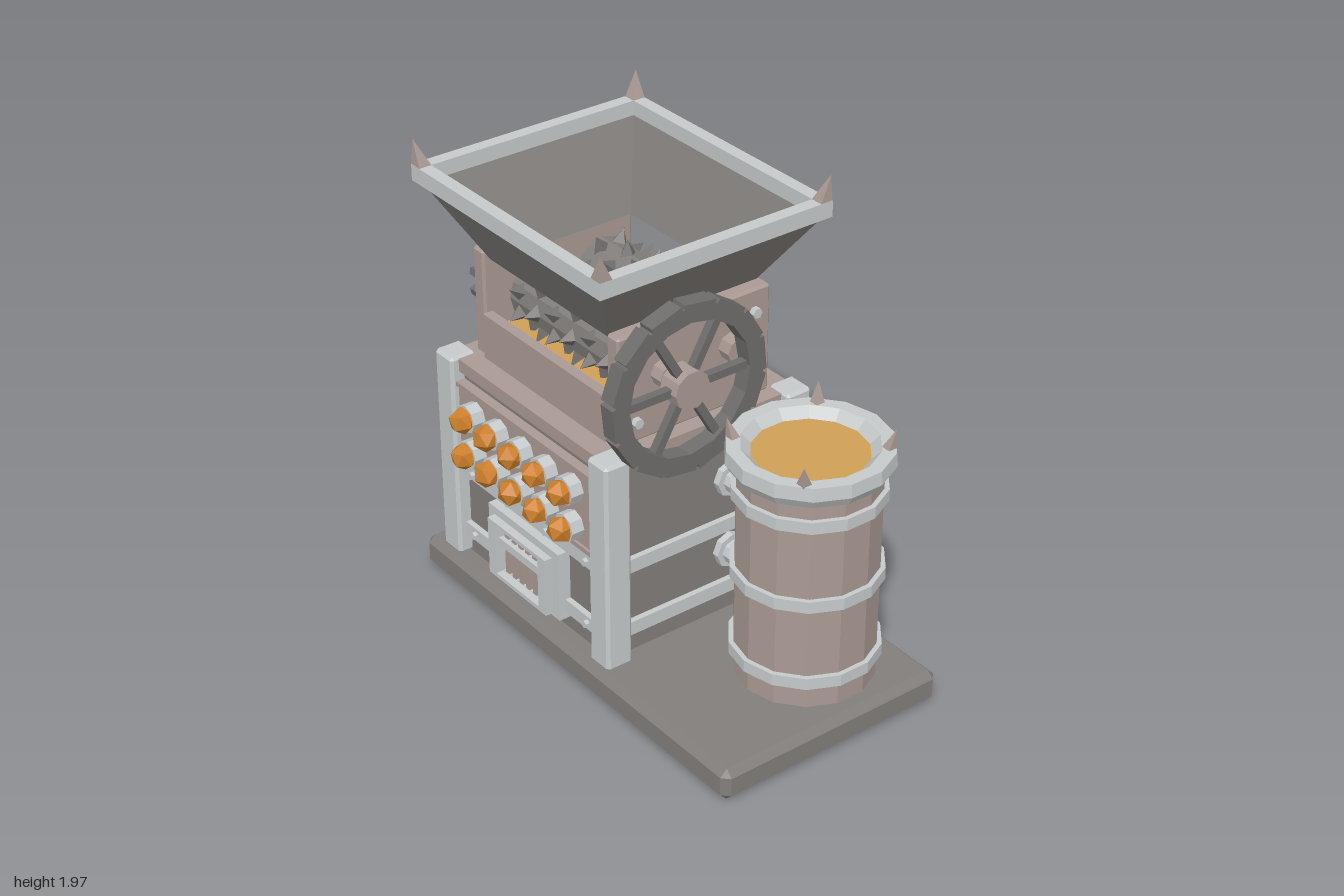
import * as THREE from 'three';
import { ConvexGeometry } from 'three/addons/geometries/ConvexGeometry.js';

const mat = (name, color) => {
  const m = new THREE.MeshStandardMaterial({ color });
  m.name = name;
  return m;
};

export function createModel() {
  const model = new THREE.Group();
  model.name = 'crusherMachine';
  const steel = mat('paleSteel', 0xc6caca);
  const tin = mat('dustyBrown', 0xaa9a94);
  const iron = mat('ironGrey', 0x827e7b);
  const dark = mat('darkIron', 0x6f6d6c);
  const orange = mat('amberOrange', 0xcc7f2a);
  const gold = mat('goldenPulp', 0xcfa057);

  // faceted mesh at a position
  function add(name, geo, material, x = 0, y = 0, z = 0, parent = model) {
    const g = geo.index ? geo.toNonIndexed() : geo;
    g.computeVertexNormals();
    const m = new THREE.Mesh(g, material);
    m.name = name;
    m.position.set(x, y, z);
    parent.add(m);
    return m;
  }

  // box given by its extents, with optional chamfered edges
  function box(name, material, x0, x1, y0, y1, z0, z1, c = 0) {
    const a = (x1 - x0) / 2, b = (y1 - y0) / 2, d = (z1 - z0) / 2;
    let geo;
    if (c) {
      const pts = [];
      for (const i of [-1, 1]) for (const j of [-1, 1]) for (const k of [-1, 1]) {
        pts.push(new THREE.Vector3(i * a, j * (b - c), k * (d - c)),
          new THREE.Vector3(i * (a - c), j * b, k * (d - c)),
          new THREE.Vector3(i * (a - c), j * (b - c), k * d));
      }
      geo = new ConvexGeometry(pts);
    } else geo = new THREE.BoxGeometry(2 * a, 2 * b, 2 * d);
    return add(name, geo, material, (x0 + x1) / 2, (y0 + y1) / 2, (z0 + z1) / 2);
  }

  // cylinder lying along x from x0 to x1
  function rod(name, material, r, x0, x1, y, z, sides = 8) {
    const geo = new THREE.CylinderGeometry(r, r, x1 - x0, sides).rotateZ(Math.PI / 2);
    return add(name, geo, material, (x0 + x1) / 2, y, z);
  }

  // short cylinder lying along z
  function stud(name, material, r, x, y, z, len, sides = 6) {
    add(name, new THREE.CylinderGeometry(r, r, len, sides).rotateX(Math.PI / 2), material, x, y, z);
  }

  // four-sided spike whose tip leans sideways
  function spike(name, material, x, y, z, r, h, lx, lz) {
    const geo = new THREE.ConeGeometry(r, h, 4).rotateY(Math.PI / 4).translate(0, h / 2, 0);
    const p = geo.attributes.position;
    for (let i = 0; i < p.count; i++) {
      const t = p.getY(i) / h;
      p.setX(i, p.getX(i) + lx * t);
      p.setZ(i, p.getZ(i) + lz * t);
    }
    add(name, geo, material, x, y, z);
  }

  // closed ring of rectangular loops [half x, half z, y]
  function rectLoft(loops) {
    const v = [], idx = [], n = loops.length;
    for (const [hx, hz, y] of loops) v.push(hx, y, hz, hx, y, -hz, -hx, y, -hz, -hx, y, hz);
    for (let i = 0; i < n; i++) for (let j = 0; j < 4; j++) {
      const k = (i + 1) % n, l = (j + 1) % 4;
      const a = i * 4 + j, b = i * 4 + l, c = k * 4 + l, d = k * 4 + j;
      idx.push(a, b, c, a, c, d);
    }
    const geo = new THREE.BufferGeometry();
    geo.setAttribute('position', new THREE.Float32BufferAttribute(v, 3));
    geo.setIndex(idx);
    return geo;
  }

  // toothed disc facing x, with an optional round hole
  function gear(ro, ri, n, tooth, root, hole, depth, turn = 0) {
    const pts = [], step = 2 * Math.PI / n;
    for (let i = 0; i < n; i++) {
      for (const [r, f] of [[ri, -root / 2], [ro, -tooth / 2], [ro, tooth / 2], [ri, root / 2]]) {
        const a = turn + (i + f) * step;
        pts.push(new THREE.Vector2(r * Math.cos(a), r * Math.sin(a)));
      }
    }
    const s = new THREE.Shape(pts);
    if (hole) s.holes.push(new THREE.Path().absarc(0, 0, hole, 0, Math.PI * 2, true));
    return new THREE.ExtrudeGeometry(s, { depth, bevelEnabled: false, curveSegments: 8 })
      .translate(0, 0, -depth / 2).rotateY(Math.PI / 2);
  }

  // rectangular frame facing z
  function frame(w, h, iw, ih, depth) {
    const rect = (a, b) => [[-a, -b], [a, -b], [a, b], [-a, b]].map(([x, y]) => new THREE.Vector2(x / 2, y / 2));
    const s = new THREE.Shape(rect(w, h));
    s.holes.push(new THREE.Path(rect(iw, ih).reverse()));
    return new THREE.ExtrudeGeometry(s, { depth, bevelEnabled: false });
  }

  const CX = -0.33, CZ = -0.025;

  // plinth, cabinet and corner posts
  box('basePlinth', iron, -1, 1, 0, 0.14, -0.55, 0.5, 0.03);
  box('cabinet', iron, -0.83, 0.17, 0.14, 1.0, -0.46, 0.41);
  box('topDeck', tin, -0.86, 0.2, 1.0, 1.055, -0.485, 0.435);
  for (const x of [-0.9, 0.12]) for (const z of [-0.52, 0.35]) {
    box('cornerPost', steel, x, x + 0.12, 0.14, 1.065, z, z + 0.12, 0.013);
  }

  // straps and rivets around the cabinet
  for (const y of [0.26, 0.55]) {
    box('frontStrap', steel, -0.78, 0.12, y - 0.03, y + 0.03, 0.41, 0.435);
    box('backStrap', steel, -0.78, 0.12, y - 0.03, y + 0.03, -0.485, -0.46);
    box('rightStrap', steel, -0.855, -0.83, y - 0.03, y + 0.03, -0.4, 0.35);
    box('leftStrap', steel, 0.17, 0.195, y - 0.03, y + 0.03, -0.4, 0.35);
    for (const x of [-0.71, -0.455, -0.2, 0.06]) {
      stud('frontRivet', steel, 0.017, x, y, 0.44, 0.025);
      stud('backRivet', steel, 0.017, x, y, -0.49, 0.025);
    }
  }

  // control panel with two rows of lamps
  box('lampPanel', tin, -0.78, 0.12, 0.615, 0.945, 0.41, 0.44);
  box('panelLip', tin, -0.78, 0.12, 0.6, 0.62, 0.41, 0.452);
  box('panelTopLip', tin, -0.78, 0.12, 0.94, 0.96, 0.41, 0.452);
  for (let i = 0; i < 5; i++) for (const y of [0.695, 0.86]) {
    const x = -0.655 + i * 0.1635;
    stud('lampCollar', steel, 0.06, x, y, 0.465, 0.06, 8);
    const lamp = add('lamp', new THREE.IcosahedronGeometry(0.058, 0), orange, x, y, 0.51);
    lamp.rotation.set(0.3 * i, 0.5 * i, 0.7 * i + y);
  }

  // furnace grate
  add('grateOuterFrame', frame(0.475, 0.31, 0.37, 0.24, 0.055), steel, -0.323, 0.355, 0.41);
  add('grateInnerFrame', frame(0.39, 0.26, 0.29, 0.225, 0.085), steel, -0.323, 0.345, 0.415);
  for (let i = 0; i < 6; i++) {
    const x = -0.44 + i * 0.047;
    box('grateBar', tin, x - 0.013, x + 0.013, 0.23, 0.46, 0.43, 0.465);
  }
  box('grateCrossBar', steel, -0.465, -0.18, 0.365, 0.4, 0.43, 0.485);

  // crusher housing
  for (const s of [-1, 1]) {
    const x = CX + s * 0.435;
    box('housingSide', tin, x - 0.035, x + 0.035, 1.055, 1.52, -0.385, 0.335, 0.01);
    for (const y of [1.145, 1.425]) for (const z of [-0.305, 0.255]) {
      const c = CX + s * 0.48;
      rod('housingBolt', steel, 0.022, c - 0.015, c + 0.015, y, z, 6);
    }
  }
  box('housingFront', tin, -0.73, 0.07, 1.055, 1.25, 0.3, 0.345);
  box('housingBack', tin, -0.73, 0.07, 1.055, 1.25, -0.395, -0.35);
  box('crushedPulp', gold, -0.73, 0.07, 1.06, 1.18, -0.35, 0.3);

  // spiked rollers, bearings and meshing gears
  const AY = 1.32;
  [-0.19, 0.13].forEach((z, k) => {
    rod('roller', iron, 0.125, -0.67, 0.03, AY, z, 12);
    rod('axle', tin, 0.04, -0.915, 0.2, AY, z);
    rod('bearing', tin, 0.055, 0.13, 0.2, AY, z);
    rod('gearHub', tin, 0.05, -0.915, -0.8, AY, z);
    add('gear', gear(0.178, 0.138, 12, 0.3, 0.56, 0, 0.055, k * Math.PI / 12), dark, -0.85, AY, z);
    for (let c = 0; c < 6; c++) for (let i = 0; i < 8; i++) {
      const a = (i + (c % 2 ? 0 : 0.5)) * Math.PI / 4;
      const cone = new THREE.ConeGeometry(0.038, 0.065, 4).translate(0, 0.148, 0).rotateX(a);
      add('rollerSpike', cone, dark, -0.615 + c * 0.1155, AY, z);
    }
  });

  // flywheel
  const WX = 0.277;
  add('flywheelRim', gear(0.36, 0.342, 14, 0.88, 0.94, 0.28, 0.072, 0.1), dark, WX, AY, 0.13);
  rod('flywheelHub', tin, 0.08, 0.23, 0.325, AY, 0.13, 10);
  rod('flywheelAxle', tin, 0.04, 0.14, 0.24, AY, 0.13);
  for (let i = 0; i < 6; i++) {
    const spoke = new THREE.BoxGeometry(0.035, 0.034, 0.225).translate(0, 0, 0.18).rotateX(i * Math.PI / 3);
    add('flywheelSpoke', spoke, dark, WX, AY, 0.13);
  }

  // hopper with rim and corner spikes
  add('hopperFunnel', rectLoft([[0.38, 0.34, 1.49], [0.585, 0.515, 1.805], [0.55, 0.48, 1.805], [0.36, 0.32, 1.49]]),
    iron, CX + 0.003, 0, CZ);
  add('hopperRim', rectLoft([[0.575, 0.505, 1.8], [0.605, 0.535, 1.8], [0.605, 0.535, 1.868], [0.55, 0.48, 1.868],
    [0.55, 0.48, 1.8]]), steel, CX + 0.003, 0, CZ);
  for (const sx of [-1, 1]) for (const sz of [-1, 1]) {
    spike('hopperSpike', tin, CX + 0.003 + sx * 0.576, 1.865, CZ + sz * 0.506, 0.04, 0.108, sx * 0.022, sz * 0.022);
  }

  // barrel with hoops, flared rim and pulp
  const BX = 0.645, BZ = -0.17;
  const lathe = pts => new THREE.LatheGeometry(pts.map(p => new THREE.Vector2(...p)), 14);
  add('barrelBody', new THREE.CylinderGeometry(0.28, 0.28, 0.93, 14), tin, BX, 0.605, BZ);
  for (const y of [0.26, 0.61, 0.96]) {
    add('barrelHoop', new THREE.CylinderGeometry(0.3, 0.3, 0.05, 14), steel, BX, y, BZ);
  }
  add('barrelRim', lathe([[0.27, 1.05], [0.3, 1.05], [0.325, 1.09], [0.32, 1.145], [0.265, 1.145], [0.22, 1.1]]),
    steel, BX, 0, BZ);
  add('barrelPulp', new THREE.CylinderGeometry(0.228, 0.228, 0.04, 14), gold, BX, 1.087, BZ);
  for (const sx of [-1, 1]) for (const sz of [-1, 1]) {
    spike('barrelSpike', tin, BX + sx * 0.203, 1.14, BZ + sz * 0.203, 0.03, 0.085, sx * 0.018, sz * 0.018);
  }

  // pipes joining cabinet and barrel, with a valve on the upper one
  for (const y of [0.425, 0.755]) {
    rod('pipeCabinetFlange', steel, 0.075, 0.165, 0.2, y, BZ);
    rod('pipeCollar', steel, 0.05, 0.2, 0.245, y, BZ);
    rod('pipeSleeve', gold, 0.056, 0.245, 0.3, y, BZ);
    rod('pipeNeck', steel, 0.045, 0.3, 0.34, y, BZ);
    rod('pipeBarrelFlange', steel, 0.077, 0.34, 0.38, y, BZ);
  }
  add('valveStem', new THREE.CylinderGeometry(0.014, 0.014, 0.12, 6), steel, 0.262, 0.85, BZ);
  box('valveHandle', steel, 0.247, 0.277, 0.895, 0.92, BZ - 0.06, BZ + 0.06);
  return model;
}
